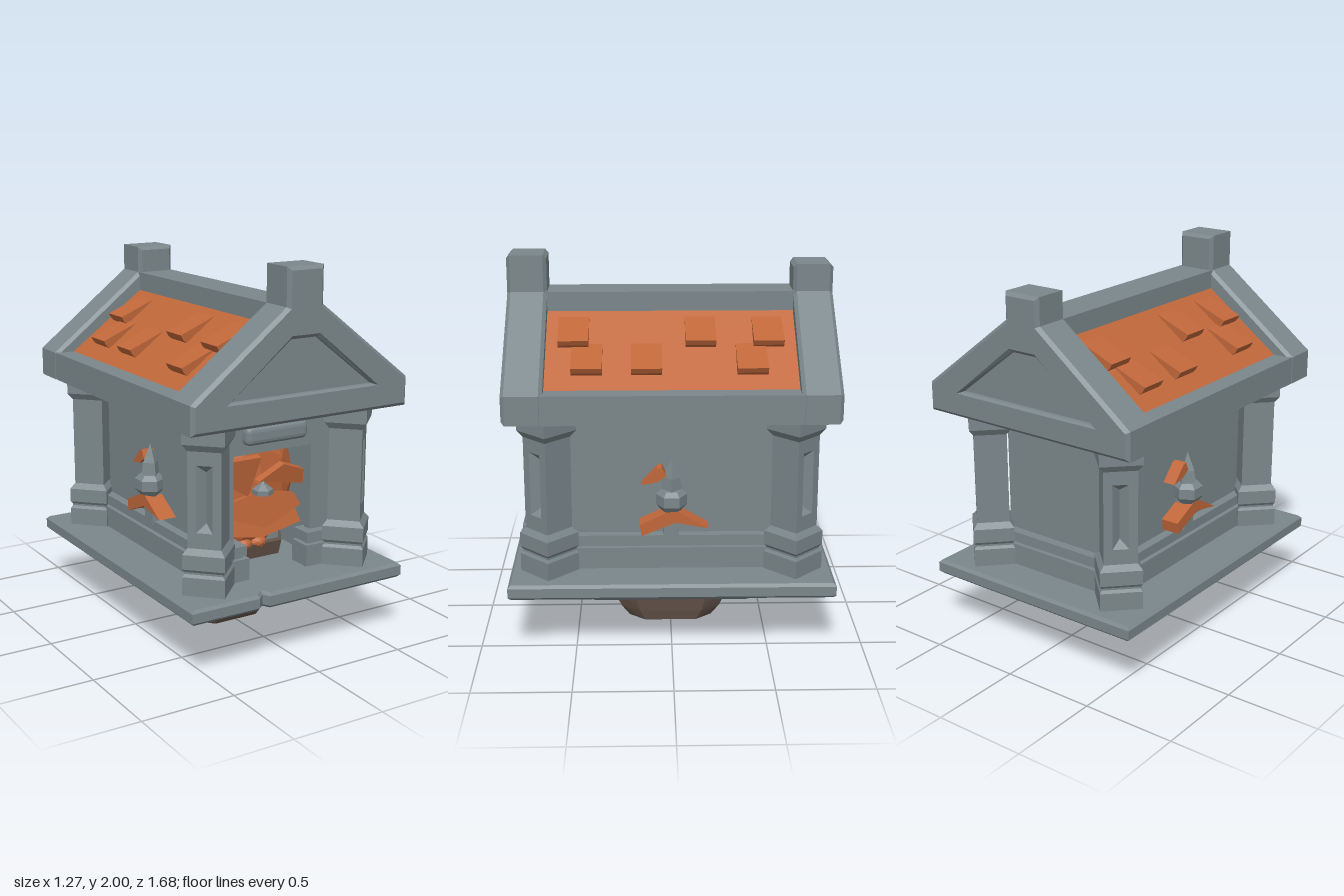
import * as THREE from 'three';
import { ConvexGeometry } from 'three/addons/geometries/ConvexGeometry.js';
import { RoundedBoxGeometry } from 'three/addons/geometries/RoundedBoxGeometry.js';

const stone = new THREE.MeshStandardMaterial({ color: 0x7b878b });
stone.name = 'stone';
const clay = new THREE.MeshStandardMaterial({ color: 0xc0673a });
clay.name = 'orange clay';
const wood = new THREE.MeshStandardMaterial({ color: 0x65544a });
wood.name = 'dark wood';

// Facet a geometry so every face has a flat normal
function flat(g) {
  const out = g.index ? g.toNonIndexed() : g;
  out.computeVertexNormals();
  return out;
}

function add(parent, name, geo, mat, x = 0, y = 0, z = 0) {
  const m = new THREE.Mesh(flat(geo), mat);
  m.name = name;
  m.position.set(x, y, z);
  parent.add(m);
  return m;
}

// Box given by its lower and upper limits
function block(parent, name, mat, [x0, x1], [y0, y1], [z0, z1]) {
  return add(parent, name, new THREE.BoxGeometry(x1 - x0, y1 - y0, z1 - z0), mat,
    (x0 + x1) / 2, (y0 + y1) / 2, (z0 + z1) / 2);
}

const vecs = pts => pts.map(p => new THREE.Vector2(...p));

// Extrude from z = 0 to z = depth, with a chamfer kept inside the outline
function slab(pts, depth, bevel = 0, hole = null) {
  const s = new THREE.Shape(vecs(pts));
  if (hole) s.holes.push(new THREE.Path(vecs(hole)));
  const g = new THREE.ExtrudeGeometry(s, {
    depth: depth - 2 * bevel, bevelEnabled: bevel > 0, bevelSize: bevel,
    bevelThickness: bevel, bevelOffset: -bevel, bevelSegments: 1,
  });
  return g.translate(0, 0, bevel);
}

const lathe = (pts, sides, start = 0, span = Math.PI * 2) =>
  new THREE.LatheGeometry(vecs(pts), sides, start, span);

// V-shaped groove sunk into the plane z = 0
function groove(h, a, b) {
  const L0 = [-h, a, 0], L1 = [-h, b, 0], Q0 = [h, a, 0], Q1 = [h, b, 0];
  const R0 = [0, a + h, -h], R1 = [0, b - h, -h];
  const tris = [L0, R0, R1, L0, R1, L1, Q0, Q1, R1, Q0, R1, R0, L0, Q0, R0, Q1, L1, R1];
  const g = new THREE.BufferGeometry();
  g.setAttribute('position', new THREE.Float32BufferAttribute(tris.flat(), 3));
  return g;
}

// Square pillar turned 45 degrees, grooved on its outer face
function pillar() {
  const p = new THREE.Group();
  p.name = 'pillar';
  add(p, 'pillarBase', lathe([[0, 0.4], [0.152, 0.4], [0.152, 0.495], [0.138, 0.51], [0.138, 0.52],
    [0.152, 0.535], [0.152, 0.61], [0.12, 0.64]], 4), stone);
  add(p, 'pillarShaft', lathe([[0.12, 0.64], [0.12, 1.13]], 3, Math.PI / 2, Math.PI * 1.5), stone);
  add(p, 'pillarCap', lathe([[0.12, 1.13], [0.152, 1.165], [0.152, 1.25]], 4), stone);
  const w = 0.12 / Math.SQRT2, h = 0.041;
  const face = new THREE.Shape(vecs([[-w, 0.64], [w, 0.64], [w, 1.13], [-w, 1.13]]));
  face.holes.push(new THREE.Path(vecs([[-h, 0.72], [-h, 1.06], [h, 1.06], [h, 0.72]])));
  add(p, 'pillarFace', new THREE.ShapeGeometry(face), stone, 0.06, 0, 0.06).rotation.y = Math.PI / 4;
  add(p, 'pillarGroove', groove(h, 0.72, 1.06), stone, 0.06, 0, 0.06).rotation.y = Math.PI / 4;
  return p;
}

// Gable end with a recessed panel and a square finial
function gable(top) {
  const g = new THREE.Group();
  g.name = 'gable';
  const outline = [[-0.632, 1.25], [0.632, 1.25], [0.632, 1.4], [0.105, 1.81], [0.105, top],
    [-0.105, top], [-0.105, 1.81], [-0.632, 1.4]];
  const hole = [[-0.42, 1.385], [-0.075, 1.655], [0.075, 1.655], [0.42, 1.385]];
  add(g, 'gableFrame', slab(outline, 0.205, 0.018, hole), stone, 0, 0, 0.635);
  add(g, 'gablePanel', slab([[-0.48, 1.36], [0.48, 1.36], [0.08, 1.69], [-0.08, 1.69]], 0.02), stone, 0, 0, 0.78);
  return g;
}

// One roof slope's raised tiles, facing +x
function tiles() {
  const t = new THREE.Group();
  t.name = 'roofTiles';
  const rows = [[0.14, [-0.495, -0.15, 0.495]], [0.285, [-0.405, 0.125, 0.425]]];
  for (const [x, zs] of rows) for (const z of zs) {
    const geo = slab([[0, -0.01], [0.2, -0.01], [0.208, 0.022], [0.204, 0.052], [0, 0.002]], 0.155);
    const m = add(t, 'tile', geo, clay, x, 1.71 - (x - 0.105) * 0.738, z - 0.0775);
    m.rotation.z = -Math.atan(0.738);
  }
  return t;
}

// Wall ornament on the +x wall: stone bracket with clay blades
function sconce() {
  const s = new THREE.Group();
  s.name = 'wallOrnament';
  const blade = (name, pts, depth, x) => {
    add(s, name, slab(pts, depth), clay, x, 0, 0).rotation.y = Math.PI / 2;
  };
  blade('lowerBlade', [[-0.165, 0.658], [-0.155, 0.596], [0.02, 0.668], [0.19, 0.637], [0.03, 0.73], [-0.02, 0.725]], 0.1, 0.35);
  blade('upperBlade', [[-0.154, 0.865], [-0.075, 0.88], [-0.027, 0.912], [-0.05, 0.96], [-0.075, 0.95]], 0.07, 0.35);
  block(s, 'bracketStem', stone, [0.34, 0.41], [0.56, 0.74], [-0.04, 0.04]);
  add(s, 'bracketCup', lathe([[0, 0.71], [0.05, 0.72], [0.08, 0.755], [0.08, 0.81], [0.055, 0.835], [0, 0.835]], 6), stone, 0.4, 0, 0);
  add(s, 'bracketSpike', lathe([[0.055, 0.83], [0.045, 0.9], [0, 1.0]], 4), stone, 0.395, 0, 0);
  return s;
}

export function createModel() {
  const model = new THREE.Group();
  model.name = 'stoneShrine';

  // Floor slab with a nick in its front edge (shape y becomes -z)
  const floor = slab([[-0.635, -0.84], [-0.25, -0.84], [-0.21, -0.8], [-0.19, -0.84], [0.635, -0.84], [0.635, 0.84], [-0.635, 0.84]], 0.08, 0.015);
  add(model, 'floorSlab', floor.rotateX(-Math.PI / 2), stone, 0, 0.32, 0);

  // Hollow skirt below the floor
  const square = r => [[-r, -r], [r, -r], [r, r], [-r, r]];
  const skirt = slab(square(0.42), 0.107, 0.015, square(0.34).reverse());
  add(model, 'skirt', skirt.rotateX(-Math.PI / 2), stone, 0, 0.215, 0);

  // Faceted wooden tub hanging through the floor
  const tub = [];
  for (const [y, x, z] of [[0, 0.2, 0.225], [0.06, 0.215, 0.27], [0.22, 0.24, 0.34], [0.48, 0.27, 0.4]])
    for (const sx of [-1, 1]) for (const sz of [-1, 1]) {
      tub.push(new THREE.Vector3(sx * x, y, sz * z * 0.62), new THREE.Vector3(sx * x * 0.65, y, sz * z));
    }
  add(model, 'tub', new ConvexGeometry(tub), wood);

  // Walls, with a doorway in the front one
  const door = [[-0.35, 0.39], [-0.235, 0.39], [-0.235, 1.04], [0.235, 1.04], [0.235, 0.39], [0.35, 0.39], [0.35, 1.26], [-0.35, 1.26]];
  add(model, 'frontWall', slab(door, 0.05), stone, 0, 0, 0.52);
  block(model, 'backWall', stone, [-0.35, 0.35], [0.39, 1.26], [-0.57, -0.52]);
  for (const s of [-1, 1]) {
    const side = s < 0 ? [-0.35, -0.31] : [0.31, 0.35];
    block(model, 'sideWall', stone, side, [0.39, 1.26], [-0.57, 0.57]);
  }

  // Two-step plinth along the foot of the walls
  for (const [y0, y1, o] of [[0.39, 0.515, 0.06], [0.515, 0.53, 0.035], [0.53, 0.58, 0.05]]) {
    block(model, 'backPlinth', stone, [-0.35 - o, 0.35 + o], [y0, y1], [-0.57 - o, -0.56]);
    for (const s of [-1, 1]) {
      const xs = (a, b) => [s * a, s * b].sort((p, q) => p - q);
      block(model, 'sidePlinth', stone, xs(0.34, 0.35 + o), [y0, y1], [-0.57, 0.57]);
      block(model, 'doorPlinth', stone, xs(0.235 - o, 0.35 + o), [y0, y1], [0.5, 0.57 + o]);
    }
  }
  add(model, 'doorPlaque', new RoundedBoxGeometry(0.37, 0.1, 0.08, 2, 0.03), stone, 0, 1.14, 0.58);

  // Corner pillars, each with its groove outwards
  [[1, 1], [1, -1], [-1, -1], [-1, 1]].forEach(([sx, sz], i) => {
    const p = pillar();
    p.position.set(sx * 0.42, 0, sz * 0.635);
    p.rotation.y = i * Math.PI / 2;
    model.add(p);
  });

  // Roof: eaves, clay slopes, ridge and gables
  block(model, 'eaves', stone, [-0.63, 0.63], [1.25, 1.4], [-0.65, 0.65]);
  add(model, 'roofSlopes', slab([[-0.525, 1.39], [0.525, 1.39], [0.525, 1.4], [0.105, 1.71], [-0.105, 1.71], [-0.525, 1.4]], 1.3), clay, 0, 0, -0.65);
  block(model, 'ridgeBeam', stone, [-0.105, 0.105], [1.6, 1.81], [-0.66, 0.66]);
  model.add(gable(2.0));
  const backGable = gable(1.95);
  backGable.rotation.y = Math.PI;
  model.add(backGable);

  // Tiles and wall ornaments repeat by a half turn
  for (const turn of [0, Math.PI]) for (const part of [tiles(), sconce()]) {
    part.rotation.y = turn;
    model.add(part);
  }

  // Jagged clay figure inside the doorway
  const figure = new THREE.Group();
  figure.name = 'doorwayFigure';
  add(figure, 'figureBody', new THREE.IcosahedronGeometry(1, 1), clay, 0, 0.82, 0.25).scale.set(0.31, 0.42, 0.22);
  const plate = (name, pts, z, tilt) => {
    const c = pts.reduce((a, p) => a + p[1], 0) / pts.length;
    const m = add(figure, name, slab(pts.map(([x, y]) => [x, y - c]), 0.04), clay, 0, c, z);
    m.rotation.x = tilt;
  };
  plate('lowerPlate', [[-0.25, 0.58], [0, 0.535], [0.25, 0.58], [0.22, 0.68], [-0.22, 0.68]], 0.42, -0.25);
  plate('middlePlate', [[-0.23, 0.69], [0, 0.6], [0.23, 0.69], [0.19, 0.76], [0, 0.8], [-0.19, 0.76]], 0.45, -0.15);
  plate('leftBrow', [[-0.04, 0.87], [0.24, 0.82], [0.23, 0.9], [0.1, 0.95]], 0.47, 0.2);
  plate('rightBrow', [[-0.24, 0.88], [-0.09, 0.79], [-0.03, 1.0], [-0.23, 1.0]], 0.46, 0.15);
  add(figure, 'nose', lathe([[0, 0.79], [0.055, 0.795], [0.055, 0.82], [0.015, 0.85], [0, 0.88]], 6), stone, -0.015, 0, 0.5);
  for (const s of [-1, 1]) {
    add(figure, 'lip', new THREE.IcosahedronGeometry(0.05, 1), clay, s * 0.045, 0.485, 0.36).scale.y = 0.7;
    block(figure, 'foot', stone, [s * 0.14 - 0.04, s * 0.14 + 0.04], [0.47, 0.54], [0.28, 0.36]);
  }
  model.add(figure);
  return model;
}
